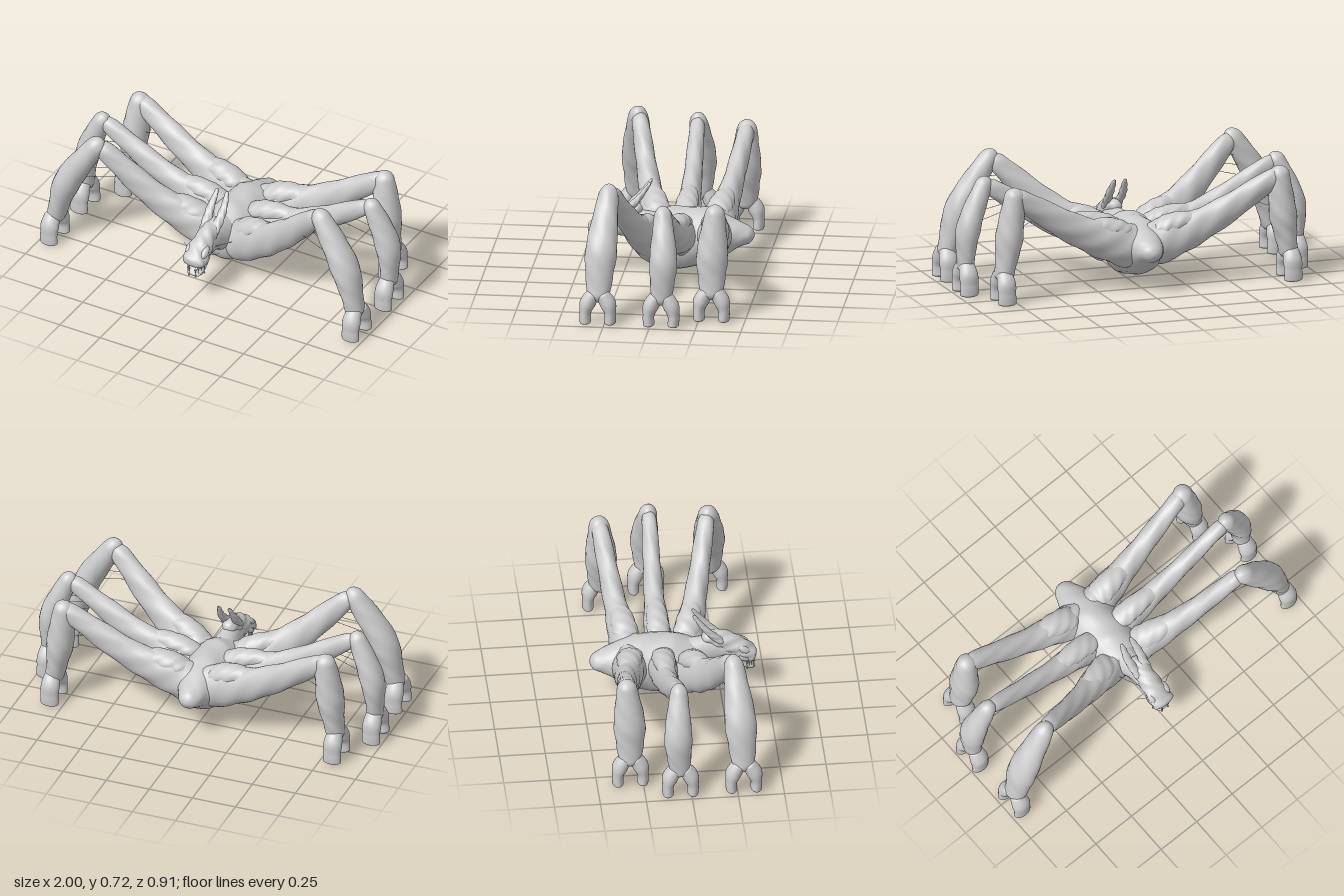
import * as THREE from 'three';

const material = new THREE.MeshStandardMaterial({ color: 0xcccccc });
const X = new THREE.Vector3(1, 0, 0);
const Z = new THREE.Vector3(0, 0, 1);
const V = (x, y, z) => new THREE.Vector3(x, y, z);

function addMesh(parent, name, geometry) {
  const mesh = new THREE.Mesh(geometry, material);
  mesh.name = name;
  parent.add(mesh);
  return mesh;
}

// Rounded limb along a curve; radii are [width, thickness] pairs, width lying along "hint".
function loft(parent, name, points, radii, hint, bump = 0, cap = 0.08) {
  const rows = 44, cols = 24;
  const path = new THREE.CatmullRomCurve3(points);
  const size = new THREE.CatmullRomCurve3(radii.map(([w, h]) => V(w, h, 0)));
  const positions = [], index = [];
  for (let i = 0; i <= rows; i++) {
    const u = 0.5 - 0.5 * Math.cos((Math.PI * i) / rows);
    const c = path.getPoint(u), r = size.getPoint(u), t = path.getTangent(u);
    const s = hint.clone().addScaledVector(t, -hint.dot(t)).normalize();
    const n = t.clone().cross(s);
    const e = Math.max(0, 1 - Math.min(u, 1 - u) / cap);
    const round = Math.max(0.001, Math.sqrt(1 - e * e));
    for (let j = 0; j < cols; j++) {
      const a = (j / cols) * Math.PI * 2;
      const k = round * (1 + bump * Math.sin(3 * a + 11 * u) * Math.sin(17 * u + a));
      const p = c.clone().addScaledVector(s, Math.cos(a) * r.x * k).addScaledVector(n, Math.sin(a) * r.y * k);
      positions.push(p.x, p.y, p.z);
      if (i < rows) {
        const q = i * cols + j, w = i * cols + ((j + 1) % cols);
        index.push(q, w, q + cols, w, w + cols, q + cols);
      }
    }
  }
  const geometry = new THREE.BufferGeometry();
  geometry.setAttribute('position', new THREE.Float32BufferAttribute(positions, 3));
  geometry.setIndex(index);
  geometry.computeVertexNormals();
  addMesh(parent, name, geometry);
}

// Thin straight strand between two points
function strand(parent, a, b) {
  addMesh(parent, 'strand', new THREE.TubeGeometry(new THREE.LineCurve3(a, b), 1, 0.0015, 5));
}

// Muscle profiles shared by all legs
const THIGH = [[0.1, 0.13], [0.082, 0.11], [0.064, 0.085], [0.053, 0.07], [0.044, 0.05]];
const SHIN = [[0.044, 0.05], [0.07, 0.066], [0.088, 0.073], [0.074, 0.058], [0.055, 0.05]];
const TOE = [[0.036, 0.04], [0.043, 0.052], [0.031, 0.05], [0.031, 0.052]];

function addLeg(model, name, side, scale, joints) {
  const leg = new THREE.Group();
  leg.name = (side > 0 ? 'left ' : 'right ') + name;
  model.add(leg);
  const [root, thigh, knee, calf, ankle] = joints.map(([x, y, z]) => V(x * side, y, z));
  const scaled = list => list.map(([w, h]) => [w * scale, h * scale]);
  const kneeTop = knee.clone().add(V(-0.03 * side, 0.03, 0));
  loft(leg, 'upperLeg', [root, thigh, knee], scaled(THIGH), Z, 0.06);
  loft(leg, 'lowerLeg', [kneeTop, calf, ankle], scaled(SHIN), Z, 0.04);
  // Muscle blending the thigh into the back
  const along = (t, lift) => root.clone().lerp(thigh, t).add(V(0, lift, 0));
  loft(leg, 'hipMuscle', [along(0.05, 0.08), along(0.45, 0.068), along(1, 0.03)],
    scaled([[0.075, 0.05], [0.07, 0.058], [0.045, 0.04]]), Z, 0.06, 0.4);
  // Forked foot with two blunt toes
  for (const d of [-1, 1]) {
    const at = (y, z) => V(ankle.x, y, ankle.z + d * z);
    loft(leg, 'toe', [at(0.19, 0.018), at(0.125, 0.056), at(0.07, 0.068), at(0.01, 0.066)], TOE, Z);
  }
  // Strands stretched across the inside of the knee
  for (const i of [0, 1, 2]) {
    const drop = V(0, -0.04, (i - 1) * 0.025);
    strand(leg, thigh.clone().lerp(knee, 0.8 - i * 0.12).add(drop), knee.clone().lerp(calf, 0.4 + i * 0.25));
  }
}

function addHead(model) {
  const head = new THREE.Group();
  head.name = 'head';
  model.add(head);
  loft(head, 'neck', [V(0, 0.24, 0.06), V(0, 0.285, 0.2), V(0, 0.275, 0.36)], [[0.1, 0.11], [0.058, 0.08], [0.05, 0.055]], X);
  loft(head, 'skull', [V(0, 0.375, 0.15), V(0, 0.345, 0.25), V(0, 0.29, 0.345), V(0, 0.232, 0.44)],
    [[0.03, 0.03], [0.052, 0.052], [0.064, 0.055], [0.064, 0.038]], X, 0.1);
  loft(head, 'lowerJaw', [V(0, 0.24, 0.33), V(0, 0.19, 0.385), V(0, 0.165, 0.43)], [[0.05, 0.04], [0.05, 0.022], [0.035, 0.012]], X);
  for (const s of [-1, 1]) {
    loft(head, 'ear', [V(s * 0.028, 0.34, 0.26), V(s * 0.038, 0.435, 0.17), V(s * 0.03, 0.532, 0.1)],
      [[0.025, 0.025], [0.024, 0.016], [0.009, 0.009]], X, 0.15);
    // Cheek and brow ridges
    for (const [name, y, z] of [['cheek', 0.25, 0.37], ['brow', 0.298, 0.375]]) {
      const ridge = addMesh(head, name, new THREE.SphereGeometry(0.02, 18, 12));
      ridge.position.set(s * 0.047, y, z);
      ridge.scale.z = 2;
      ridge.rotation.x = 0.6;
    }
    // Small teeth along both jaws
    for (let i = 0; i < 4; i++) {
      for (const up of [true, false]) {
        const tooth = addMesh(head, 'tooth', new THREE.ConeGeometry(0.006, 0.028, 8));
        tooth.position.set(s * (0.05 - i * 0.01), (up ? 0.188 : 0.208) - i * 0.004, 0.39 + i * 0.014);
        if (!up) tooth.rotation.x = Math.PI;
      }
    }
    // Whisker by the cheek, and strands from neck to shoulder
    strand(head, V(s * 0.05, 0.27, 0.36), V(s * 0.11, 0.285, 0.33));
    strand(head, V(s * 0.05, 0.28, 0.28), V(s * 0.11, 0.25, 0.12));
  }
}

export function createModel() {
  const model = new THREE.Group();
  model.name = 'sixLeggedCreature';
  // Torso from pointed rump to chest
  loft(model, 'torso', [V(0, 0.24, -0.46), V(0, 0.245, -0.36), V(0, 0.235, -0.22), V(0, 0.215, -0.02), V(0, 0.225, 0.17)],
    [[0.04, 0.035], [0.085, 0.08], [0.14, 0.15], [0.15, 0.17], [0.09, 0.1]], X, 0.03);
  for (const s of [-1, 1]) {
    // Joints: root, thigh, knee, calf, ankle
    addLeg(model, 'frontLeg', s, 1,
      [[0.03, 0.18, 0.05], [0.36, 0.375, 0.15], [0.7, 0.69, 0.25], [0.865, 0.4, 0.275], [0.938, 0.13, 0.285]]);
    addLeg(model, 'middleLeg', s, 0.88,
      [[0.02, 0.23, -0.075], [0.4, 0.36, -0.07], [0.85, 0.625, -0.055], [0.932, 0.37, -0.07], [0.945, 0.13, -0.06]]);
    addLeg(model, 'rearLeg', s, 1,
      [[0.02, 0.23, -0.24], [0.36, 0.36, -0.285], [0.785, 0.62, -0.335], [0.785, 0.37, -0.32], [0.82, 0.13, -0.32]]);
  }
  addHead(model);
  return model;
}
